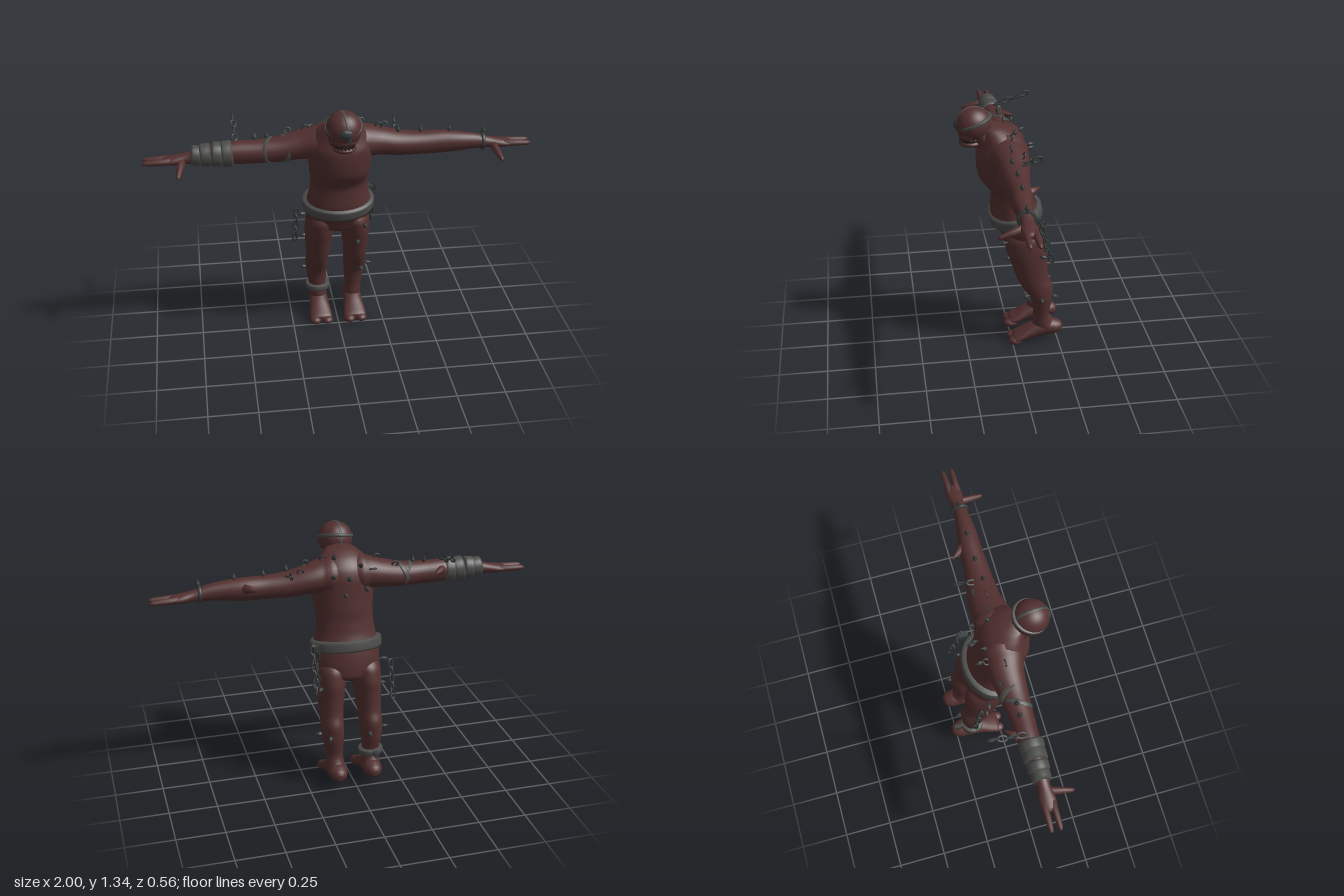
import * as THREE from 'three';

const mat = (name, color) => Object.assign(new THREE.MeshStandardMaterial({ color }), { name });
const skin = mat('dark red skin', 0x52302f);
const strap = mat('grey strap', 0x4b4b4a);
const metal = mat('dark metal', 0x363a3a);
const dark = mat('mouth dark', 0x241515);
const ivory = mat('tooth ivory', 0x9a9284);

const V = (x, y, z) => new THREE.Vector3(x, y, z);
const X = V(1, 0, 0), Y = V(0, 1, 0), Z = V(0, 0, 1);

function add(parent, name, geo, material, pos = V(0, 0, 0), scale) {
  const m = new THREE.Mesh(geo, material);
  m.name = name;
  m.position.copy(pos);
  if (scale) m.scale.copy(scale);
  parent.add(m);
  return m;
}

// Smooth skin over elliptical sections; rows are [centre, ru, rv], running along u x v
function loft(rows, u, v, seg = 28, sub = 4) {
  const centre = new THREE.CatmullRomCurve3(rows.map(r => r[0]));
  const radii = new THREE.CatmullRomCurve3(rows.map(r => V(r[1], r[2], 0)));
  const n = (rows.length - 1) * sub, pos = [], idx = [];
  for (let i = 0; i <= n; i++) {
    const c = centre.getPoint(i / n), r = radii.getPoint(i / n);
    for (let j = 0; j < seg; j++) {
      const a = j / seg * Math.PI * 2;
      const p = c.clone().addScaledVector(u, r.x * Math.cos(a)).addScaledVector(v, r.y * Math.sin(a));
      pos.push(p.x, p.y, p.z);
      if (i < n) {
        const k = (j + 1) % seg, A = i * seg + j, B = i * seg + k;
        idx.push(A, B, A + seg, B, B + seg, A + seg);
      }
    }
  }
  // end caps
  [[0, 0], [n, 1]].forEach(([i, end]) => {
    const c = centre.getPoint(end), o = pos.length / 3;
    pos.push(c.x, c.y, c.z);
    for (let j = 0; j < seg; j++) {
      const A = i * seg + j, B = i * seg + (j + 1) % seg;
      idx.push(...(end ? [o, A, B] : [o, B, A]));
    }
  });
  const g = new THREE.BufferGeometry();
  g.setAttribute('position', new THREE.Float32BufferAttribute(pos, 3));
  g.setIndex(idx);
  g.computeVertexNormals();
  return g;
}

// Elliptical strap around its own y axis
function band(parent, name, material, pos, rx, rz, h, rot = [0, 0, 0], t = 0.014) {
  const profile = [[-t, -.5], [-.003, -.45], [0, -.25], [0, .25], [-.003, .45], [-t, .5]]
    .map(([r, y]) => new THREE.Vector2(rx + r, y * h));
  const m = add(parent, name, new THREE.LatheGeometry(profile, 40), material, pos, V(1, 1, rz / rx));
  m.rotation.set(...rot);
  return m;
}

// Tapered rounded finger between two points
function digit(parent, name, a, b, r0, r1) {
  const len = a.distanceTo(b);
  const pts = [[0.001, 0], [r0, .1], [(r0 + r1) / 2, .55], [r1, .86], [r1 * .65, .96], [0.0005, 1]]
    .map(([r, t]) => new THREE.Vector2(r, t * len));
  const m = add(parent, name, new THREE.LatheGeometry(pts, 12), skin, a);
  m.quaternion.setFromUnitVectors(Y, b.clone().sub(a).normalize());
}

const linkGeo = new THREE.TorusGeometry(0.014, 0.0048, 6, 14).scale(1, 1.75, 1);
function chain(parent, name, a, b, count) {
  const g = new THREE.Group();
  g.name = name;
  const q = new THREE.Quaternion().setFromUnitVectors(Y, b.clone().sub(a).normalize());
  for (let i = 0; i < count; i++) {
    const m = add(g, 'chainLink', linkGeo, metal, a.clone().lerp(b, count > 1 ? i / (count - 1) : 0));
    m.quaternion.copy(q).multiply(new THREE.Quaternion().setFromAxisAngle(Y, (i % 2) * Math.PI / 2));
  }
  parent.add(g);
}

// Spindle stud with a collar, pointing away from the skin
function stud(parent, p, d, size = 1, ring = false) {
  const g = new THREE.Group();
  g.name = ring ? 'piercingRing' : 'piercingStud';
  const pts = [[0.001, -.02], [.006, -.01], [.006, .006], [.013, .012], [.009, .022], [0.0005, .04]]
    .map(([r, y]) => new THREE.Vector2(r, y));
  if (ring) add(g, 'ring', new THREE.TorusGeometry(0.016, 0.0045, 6, 16), metal, V(0, .016, 0));
  else add(g, 'spike', new THREE.LatheGeometry(pts, 8), metal);
  g.position.set(...p);
  g.quaternion.setFromUnitVectors(Y, V(...d).normalize());
  g.scale.setScalar(size);
  parent.add(g);
}

export function createModel() {
  const root = new THREE.Group();
  root.name = 'chainedFigure';

  // Torso: y, half width, centre z, half depth
  const torso = [[.565, .05, -.075, .05], [.6, .14, -.07, .1], [.66, .17, -.057, .112], [.74, .174, -.027, .127],
    [.82, .157, -.012, .112], [.88, .15, -.004, .107], [.96, .157, .028, .133], [1.04, .165, .04, .135],
    [1.1, .17, .043, .132], [1.16, .15, .042, .112], [1.205, .11, .06, .09], [1.235, .07, .085, .06], [1.25, .02, .1, .02]];
  add(root, 'torso', loft(torso.map(([y, w, z, d]) => [V(0, y, z), d, w]), Z, X, 36), skin);

  for (const s of [1, -1]) {
    const side = s > 0 ? 'left' : 'right';
    // Arm: x, y, z, half height, half depth
    const arm = [[.03, 1.115, .03, .088, .1], [.11, 1.113, .024, .088, .1], [.2, 1.103, .012, .074, .086],
      [.3, 1.086, .015, .066, .074], [.42, 1.08, .02, .06, .062], [.52, 1.08, .02, .06, .058], [.62, 1.08, .027, .051, .049],
      [.72, 1.075, .028, .039, .037], [.78, 1.066, .027, .029, .033], [.84, 1.06, .026, .024, .041],
      [.885, 1.057, .026, .018, .038], [.9, 1.057, .026, .008, .028]];
    add(root, side + 'Arm', loft(arm.map(([x, y, z, h, d]) => s > 0 ? [V(x, y, z), h, d] : [V(-x, y, z), d, h]),
      s > 0 ? Y : Z, s > 0 ? Z : Y), skin);
    digit(root, side + 'BackFinger', V(s * .84, 1.06, .006), V(s, 1.056, .001), .018, .013);
    digit(root, side + 'FrontFinger', V(s * .84, 1.06, .046), V(s, 1.056, .048), .018, .013);
    digit(root, side + 'Thumb', V(s * .8, 1.058, .04), V(s * .822, 1.02, .17), .021, .012);
    digit(root, side + 'ElbowSpur', V(s * .525, 1.095, -.015), V(s * .468, 1.1, -.085), .026, .005);

    // Leg: y, x, half width, z, half depth
    const leg = [[.05, .095, .04, -.19, .055], [.08, .095, .049, -.188, .07], [.12, .097, .047, -.167, .056],
      [.17, .1, .046, -.158, .043], [.25, .104, .055, -.16, .054], [.3, .105, .06, -.15, .068], [.35, .105, .061, -.133, .083],
      [.4, .103, .063, -.11, .085], [.5, .1, .072, -.089, .097], [.57, .097, .077, -.077, .109], [.63, .094, .077, -.063, .108],
      [.69, .085, .06, -.05, .07]];
    add(root, side + 'Leg', loft(leg.map(([y, x, w, z, d]) => [V(s * x, y, z), d, w]), Z, X), skin);
    // Foot: z, y, half width, half height
    const foot = [[-.277, .078, .015, .014], [-.265, .08, .034, .03], [-.23, .083, .049, .042], [-.17, .083, .05, .05],
      [-.1, .064, .053, .042], [-.05, .044, .06, .032], [-.015, .031, .06, .024], [-.002, .028, .045, .015]];
    add(root, side + 'Foot', loft(foot.map(([z, y, w, h]) => [V(s * .095, y, z), w, h]), X, Y), skin);
    for (const [x, r, l] of [[.062, .031, .04], [.127, .031, .036]])
      add(root, side + 'Toe', new THREE.SphereGeometry(1, 16, 12), skin, V(s * x, .022, -.014), V(r, .022, l));
  }

  // Head and neck
  const ball = new THREE.SphereGeometry(1, 32, 24);
  add(root, 'neck', loft([[V(0, 1.12, .09), .075, .085], [V(0, 1.17, .125), .066, .072], [V(0, 1.22, .165), .066, .07]], Z, X), skin);
  add(root, 'cranium', ball, skin, V(0, 1.25, .185), V(.09, .09, .093));
  add(root, 'upperJaw', ball, skin, V(0, 1.198, .205), V(.07, .034, .06));
  add(root, 'mouth', ball, dark, V(0, 1.173, .203), V(.056, .022, .05));
  add(root, 'lowerJaw', ball, skin, V(0, 1.153, .2), V(.06, .022, .06));
  for (let i = -3; i <= 3; i++) {
    const a = i * .36, x = Math.sin(a) * .053, z = .203 + Math.cos(a) * .05;
    add(root, 'upperTooth', new THREE.ConeGeometry(.007, .024, 6), dark, V(x, 1.178, z)).rotation.x = Math.PI;
    add(root, 'lowerTooth', new THREE.ConeGeometry(.007, .022, 6), dark, V(x * .95, 1.172, z));
  }
  for (const s of [1, -1])
    add(root, 'cheekTusk', new THREE.TorusGeometry(.012, .003, 6, 10, Math.PI), ivory, V(s * .064, 1.183, .193)).rotation.y = Math.PI / 2;
  add(root, 'sealedEye', ball, metal, V(0, 1.25, .267), V(.035, .028, .018));
  band(root, 'headStrap', strap, V(0, 1.262, .182), .094, .097, .02, [.36, 0, .08]);
  band(root, 'crownStrap', strap, V(.004, 1.25, .185), .0925, .0955, .018, [0, .12, Math.PI / 2 + .12]);

  // Belt, arm wraps and shackles
  band(root, 'belt', strap, V(0, .747, -.028), .19, .143, .062, [.2, 0, 0], .03);
  const wraps = [[.572, .067, .058, .08], [.625, .064, .06, -.1], [.68, .059, .058, .1], [.728, .052, .056, -.08]];
  for (const [x, r, h, tilt] of wraps)
    band(root, 'forearmWrap', strap, V(-x, 1.079, .026), r, r * .95, h, [0, 0, Math.PI / 2 + tilt], .02);
  band(root, 'upperArmStrap', strap, V(-.29, 1.087, .015), .07, .082, .032, [0, .45, Math.PI / 2 - .22]);
  band(root, 'crossedArmStrap', strap, V(-.355, 1.083, .018), .067, .076, .026, [0, -.5, Math.PI / 2 + .1]);
  band(root, 'wristShackle', metal, V(.745, 1.073, .028), .046, .046, .018, [0, 0, Math.PI / 2]);
  band(root, 'ankleShackle', strap, V(-.1, .166, -.158), .066, .062, .034, [0, 0, -.04], .025);
  add(root, 'ankleBuckle', new THREE.BoxGeometry(.022, .018, .05), metal, V(-.11, .173, -.235));

  // Chains
  chain(root, 'wrapChain', V(-.53, 1.15, -.01), V(-.53, 1.2, -.155), 4);
  chain(root, 'leftHipChain', V(.2, .765, -.13), V(.2, .56, -.19), 6);
  chain(root, 'backHipChain', V(.185, .74, -.15), V(.19, .62, -.165), 3);
  chain(root, 'rightThighChain', V(-.215, .64, -.13), V(-.22, .475, -.16), 5);
  chain(root, 'shoulderChain', V(.3, 1.145, -.03), V(.3, 1.165, -.095), 2);
  add(root, 'beltLoop', new THREE.BoxGeometry(.03, .035, .05), metal, V(.185, .77, -.115));

  // Piercings along the shoulders and arms: position, direction
  const rings = [[[.2, 1.172, .02], [.1, 1, 0]], [[-.17, 1.175, .01], [-.2, 1, 0]], [[.11, 1.195, .01], [.1, 1, -.3]],
    [[.24, 1.15, -.03], [0, 1, -.5]], [[-.26, 1.145, -.03], [0, 1, -.5]], [[-.13, 1.15, -.06], [0, .5, -1]]];
  rings.forEach(([p, d]) => stud(root, p, d, 1, true));
  const studs = [[[.3, 1.148, .03], [0, 1, 0]], [[.42, 1.137, .02], [0, 1, 0]], [[.57, 1.132, .02], [0, 1, 0]],
    [[.75, 1.113, .025], [0, 1, 0]], [[-.37, 1.14, .01], [0, 1, 0]], [[-.43, 1.137, .01], [0, 1, -.2]],
    [[0, 1.12, -.085], [0, .2, -1]], [[.08, 1.13, -.075], [0, .4, -1]], [[-.07, 1.17, -.05], [0, .6, -1]],
    [[.02, 1.04, -.097], [0, 0, -1]], [[-.09, 1.06, -.085], [-.2, 0, -1]], [[.06, 1.2, -.01], [0, 1, -.5]],
    // legs
    [[.13, .63, .035], [.3, 0, 1]], [[.1, .52, .005], [0, 0, 1]], [[.16, .55, -.14], [.6, 0, -1]],
    [[.163, .29, -.15], [1, 0, 0]], [[.13, .3, -.085], [.2, 0, 1]], [[.13, .29, -.205], [.3, 0, -1]],
    [[-.175, .655, -.08], [-1, 0, 0]], [[-.165, .52, -.09], [-1, 0, 0]], [[-.163, .29, -.15], [-1, 0, 0]],
    [[-.08, .29, -.205], [0, 0, -1]]];
  studs.forEach(([p, d]) => stud(root, p, d));

  return root;
}
